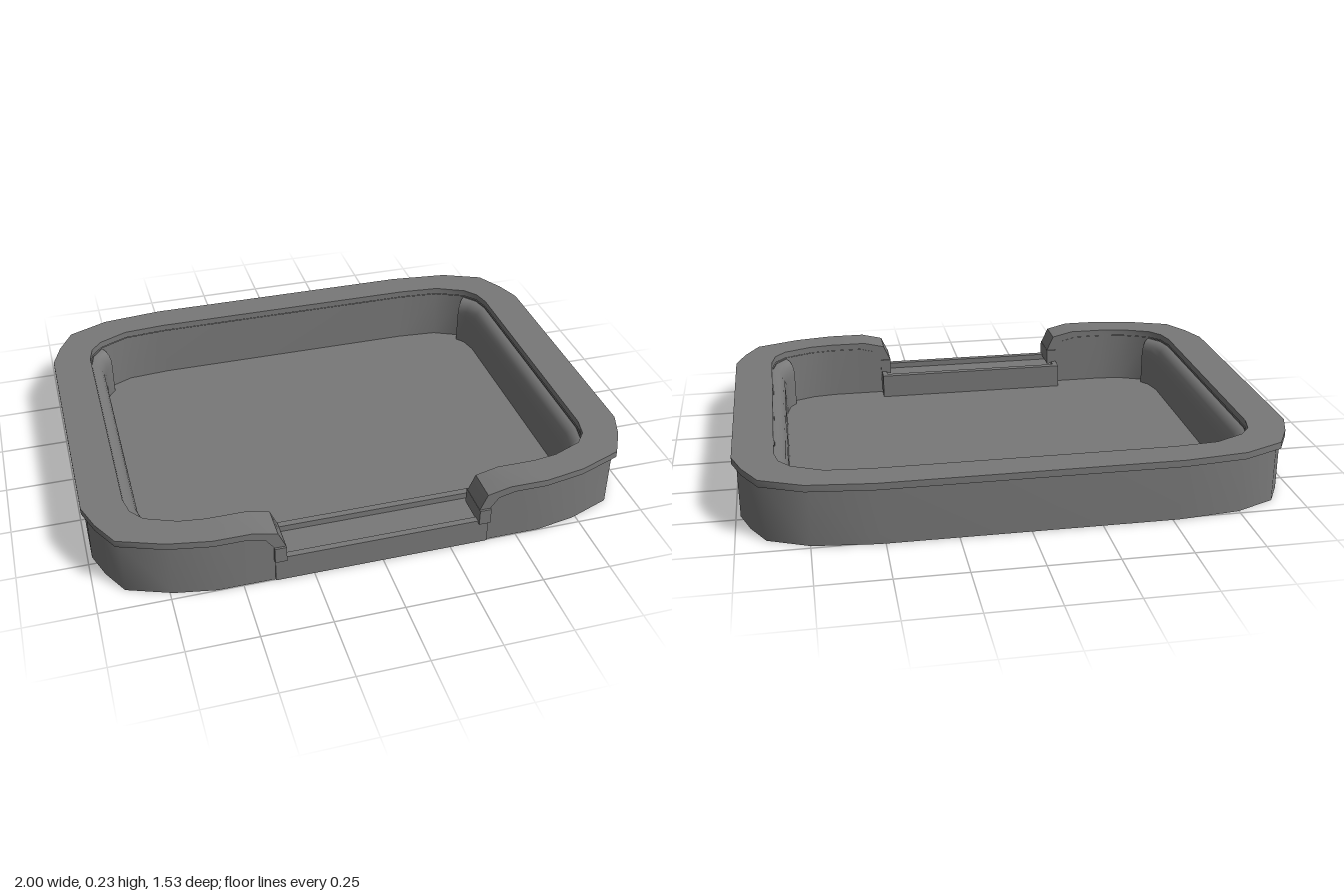
import * as THREE from 'three';
import { toCreasedNormals } from 'three/addons/utils/BufferGeometryUtils.js';

const grey = new THREE.MeshStandardMaterial({ color: 0x787878, side: THREE.DoubleSide });
grey.name = 'grey plastic';

// Skin a list of cross-sections; optionally close each section and cap both ends
function loft(rows, closed = false, caps = false) {
  const n = rows[0].length, index = [];
  rows.slice(1).forEach((_, i) => {
    for (let j = 0; j < (closed ? n : n - 1); j++) {
      const a = i * n + j, b = i * n + (j + 1) % n;
      index.push(a, b, a + n, b, b + n, a + n);
    }
  });
  if (caps) {
    const e = (rows.length - 1) * n;
    for (let j = 1; j < n - 1; j++) index.push(0, j + 1, j, e, e + j, e + j + 1);
  }
  const g = new THREE.BufferGeometry();
  g.setAttribute('position', new THREE.Float32BufferAttribute(rows.flat(2), 3));
  g.setIndex(index);
  return toCreasedNormals(g, 0.9);
}

// Half outlines (x, z) from the front opening round to the back
const GAP = [0.35, 0.35, 0.377, 0.46];
const outer = [...GAP.map((x) => [x, 0.757]), [0.6, 0.757], [0.75, 0.73], [0.91, 0.67], [0.965, 0.57],
  [1, 0.47], [1, -0.48], [0.965, -0.58], [0.91, -0.68], [0.76, -0.745], [0.53, -0.77]];
const inner = [...GAP.map((x) => [x, 0.637]), [0.6, 0.637], [0.69, 0.625], [0.8, 0.58], [0.84, 0.53],
  [0.855, 0.46], [0.855, -0.47], [0.84, -0.535], [0.8, -0.585], [0.69, -0.637], [0.53, -0.65]];

// The rim turns down at the opening
const topY = [0.09, 0.15, 0.21, 0.23];
const lowY = [0.09, 0.15, 0.19, 0.205];
const lowShift = [0.04, 0.04, 0.043, 0.02];
const top = (i) => topY[Math.min(i, 3)];
const low = (i) => lowY[Math.min(i, 3)];
const shift = (i) => lowShift[i] ?? 0;

// Complete a half list of sections with its mirror image
const mirrored = (rows) => [...rows, ...rows.map((r) => r.map(([x, y, z]) => [-x, y, z])).reverse()];

export function createModel() {
  const model = new THREE.Group();
  const add = (name, geometry) => {
    const mesh = new THREE.Mesh(geometry, grey);
    mesh.name = name;
    model.add(mesh);
    return mesh;
  };

  // Flat rim with a slight overhang
  add('rim', loft(mirrored(outer.map(([x, z], i) => {
    const [u, w] = inner[i], s = shift(i);
    return [[x + s, low(i), z], [x, top(i), z], [u, top(i), w], [u + s, low(i), w]];
  })), true, true));

  // Outer skirt and basin wall, hollow between them
  add('outerWall', loft(mirrored(outer.map(([x, z], i) => {
    const px = (x + shift(i)) * 0.984, pz = z * 0.988;
    return [[px, 0, pz], [px, low(i), pz]];
  }))));
  add('basinWall', loft(mirrored(inner.map(([x, z], i) => {
    const px = (x + shift(i)) * 0.996, pz = z * 0.996;
    return [[px, 0, pz], [px, low(i), pz]];
  }))));

  // Basin floor
  const half = inner.slice(4);
  const outline = [...half, ...half.map(([x, z]) => [-x, z]).reverse()];
  const floor = new THREE.ShapeGeometry(new THREE.Shape(outline.map(([x, z]) => new THREE.Vector2(x, -z))));
  floor.rotateX(-Math.PI / 2).translate(0, 0.003, 0);
  add('floor', floor);

  // Rounded side bolsters inside the basin
  const wall = inner.slice(6, 12);
  const face = [[0.765, 0.555], [0.79, 0.52], [0.805, 0.45], [0.805, -0.46], [0.79, -0.525], [0.765, -0.555]];
  const section = [[0, 0], [1, 0], [1, 0.13], [0.95, 0.155], [0.8, 0.175], [0.55, 0.19], [0.25, 0.198], [0, 0.2]];
  for (const side of [1, -1]) {
    add(side > 0 ? 'leftBolster' : 'rightBolster', loft(wall.map(([x, z], i) => section.map(([t, y]) => [
      side * (x + (face[i][0] - x) * t), y, z + (face[i][1] - z) * t,
    ])), true, true));
  }

  // Low grooved sill across the front opening
  const profile = [[0.754, 0], [0.754, 0.098], [0.73, 0.098], [0.73, 0.075], [0.595, 0.075], [0.595, 0.098],
    [0.57, 0.098], [0.57, 0], [0.637, 0], [0.637, 0.065], [0.745, 0.065], [0.745, 0]];
  const sill = new THREE.ExtrudeGeometry(new THREE.Shape(profile.map(([z, y]) => new THREE.Vector2(-z, y))),
    { depth: 0.775, bevelEnabled: false });
  add('sill', sill.rotateY(Math.PI / 2).translate(-0.3875, 0, 0));
  for (const side of [1, -1]) {
    add('sillEnd', new THREE.BoxGeometry(0.02, 0.098, 0.067)).position.set(side * 0.3775, 0.049, 0.6035);
    // Small catch at each end of the opening
    add('catch', new THREE.BoxGeometry(0.042, 0.06, 0.135)).position.set(side * 0.37, 0.12, 0.6975);
  }
  return model;
}
